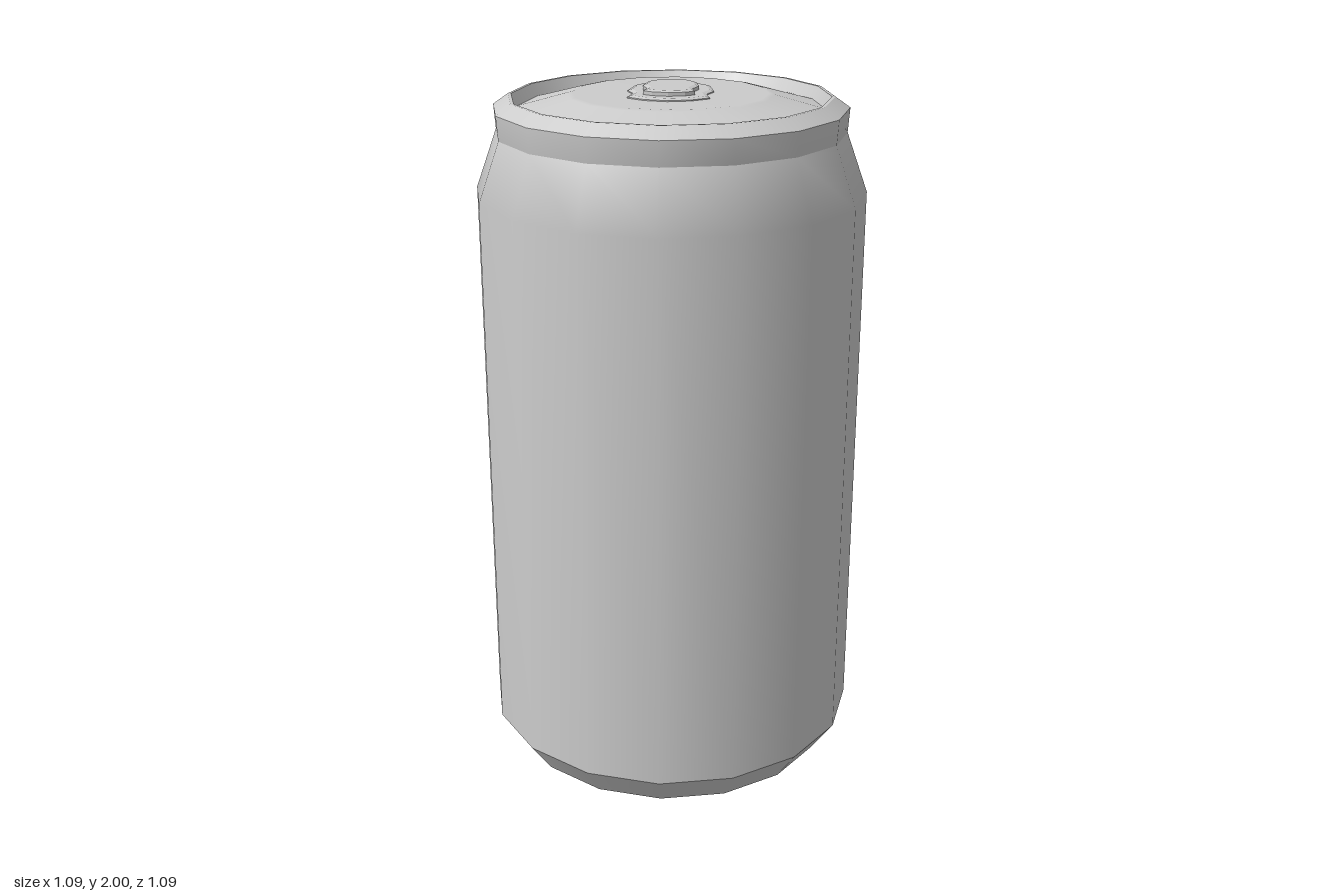
import * as THREE from 'three';

const SIDES = 16;
const material = new THREE.MeshStandardMaterial({ color: 0xcccccc });

// Revolved band; normals are smooth inside a band and sharp between bands
function band(name, profile) {
  const points = profile.map(([r, y]) => new THREE.Vector2(r, y));
  const mesh = new THREE.Mesh(new THREE.LatheGeometry(points, SIDES), material);
  mesh.name = name;
  return mesh;
}

// Flat waisted plate with a small bevel, mirrored from its right half [x, z]
function plate(name, half, bottom, top, bevel, rise) {
  const mirrored = half.slice(1, -1).reverse().map(([x, z]) => [-x, z]);
  const outline = [...half, ...mirrored].map(([x, z]) => new THREE.Vector2(x, -z));
  const geometry = new THREE.ExtrudeGeometry(new THREE.Shape(outline), {
    depth: top - bottom - 2 * rise,
    bevelEnabled: true,
    bevelSegments: 1,
    bevelSize: bevel,
    bevelOffset: -bevel,
    bevelThickness: rise,
  });
  geometry.rotateX(-Math.PI / 2);
  geometry.translate(0, bottom + rise, 0);
  const mesh = new THREE.Mesh(geometry, material);
  mesh.name = name;
  return mesh;
}

export function createModel() {
  const can = new THREE.Group();
  can.name = 'drinkCan';

  // Underside, from the centre outwards
  can.add(band('baseDisc', [[0, 0.006], [0.272, 0.006]]));
  can.add(band('baseStep', [[0.272, 0.006], [0.282, 0]]));
  can.add(band('baseRing', [[0.282, 0], [0.48, 0.017]]));
  can.add(band('baseChamfer', [[0.48, 0.017], [0.547, 0.113]]));

  // Wall and tapering neck
  can.add(band('wall', [[0.547, 0.113], [0.547, 1.71], [0.487, 1.875]]));

  // Rim
  can.add(band('rimSide', [[0.48, 1.875], [0.487, 1.875], [0.492, 1.943]]));
  can.add(band('rimSlope', [[0.492, 1.943], [0.45, 1.972]]));
  can.add(band('rimTop', [[0.45, 1.972], [0.441, 1.972]]));
  can.add(band('rimInnerWall', [[0.441, 1.972], [0.424, 1.938]]));

  // Lid rising to a flat centre
  can.add(band('lid', [[0.424, 1.938], [0.285, 1.976], [0.27, 1.979], [0, 1.979]]));

  // Opening tab: a low base plate with a raised plate on it
  const tab = new THREE.Group();
  tab.name = 'tab';
  tab.add(plate('tabBase', [
    [0, -0.148], [0.062, -0.136], [0.105, -0.093], [0.119, -0.006],
    [0.1, 0.04], [0.112, 0.1], [0.062, 0.136], [0, 0.15],
  ], 1.968, 1.986, 0.012, 0.004));
  tab.add(plate('tabTop', [
    [0, -0.104], [0.044, -0.095], [0.068, -0.065], [0.077, -0.006],
    [0.062, 0.042], [0.07, 0.08], [0.044, 0.098], [0, 0.107],
  ], 1.98, 2, 0.011, 0.004));
  can.add(tab);

  return can;
}
